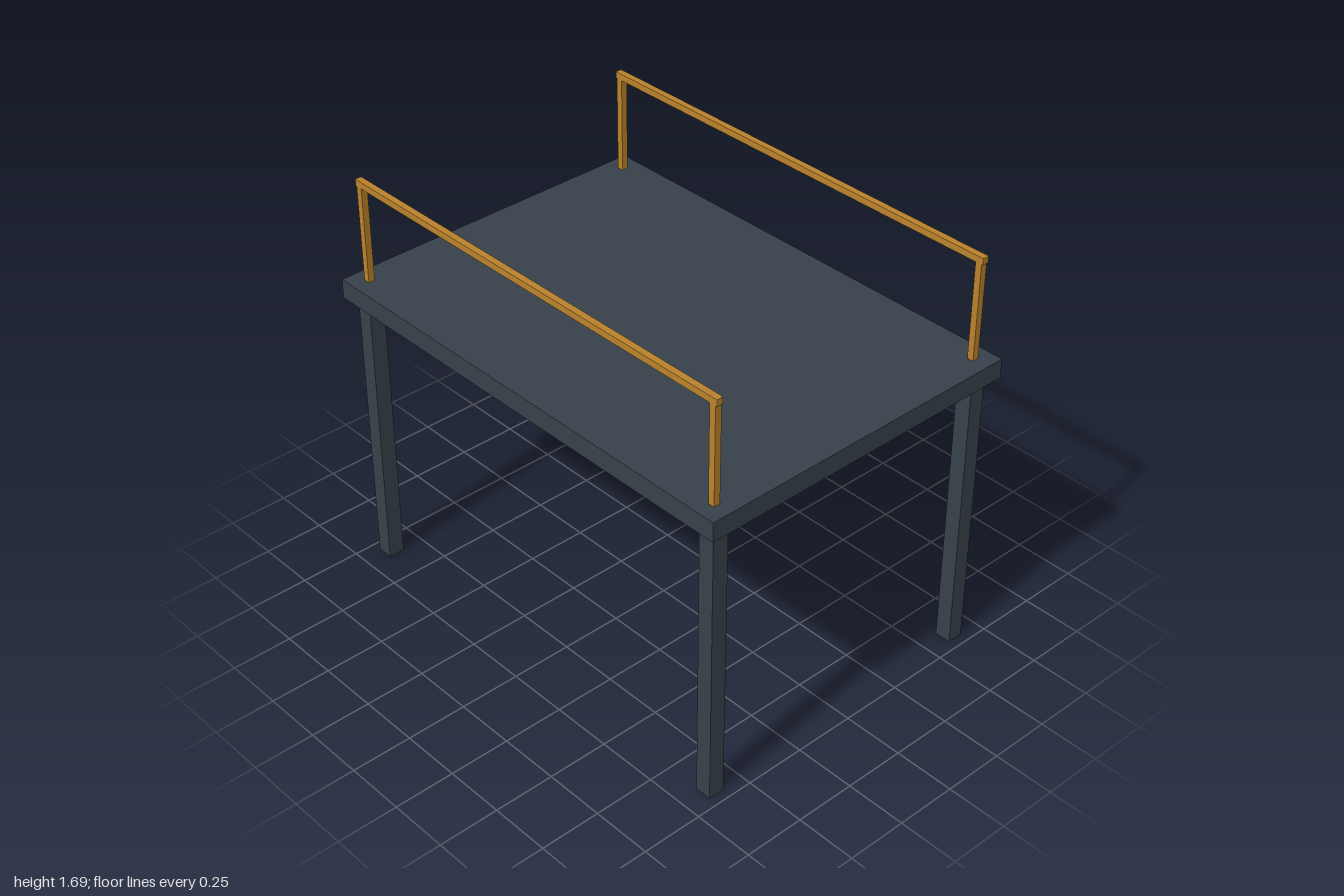
import * as THREE from 'three';

export function createModel() {
  const model = new THREE.Group();
  model.name = 'railedPlatform';
  const steel = new THREE.MeshStandardMaterial({ color: 0x37414a });
  const amber = new THREE.MeshStandardMaterial({ color: 0xb9822b });

  // Box standing on height y
  const addBox = (name, material, [w, h, d], [x, y, z]) => {
    const mesh = new THREE.Mesh(new THREE.BoxGeometry(w, h, d), material);
    mesh.name = name;
    mesh.position.set(x, y + h / 2, z);
    model.add(mesh);
  };

  const legHeight = 1.187, deckTop = 1.267, railBase = 1.664;
  const insetX = 0.927, insetZ = 0.627, bar = 0.027;

  addBox('deck', steel, [2, deckTop - legHeight, 1.4], [0, legHeight, 0]);

  for (const [end, sz] of [['front', 1], ['back', -1]]) {
    const z = sz * insetZ;
    for (const [side, sx] of [['Left', 1], ['Right', -1]]) {
      const x = sx * insetX;
      addBox(`${end}${side}Leg`, steel, [0.067, legHeight, 0.067], [x, 0, z]);
      addBox(`${end}${side}RailPost`, amber, [bar, railBase - deckTop, bar], [x, deckTop, z]);
    }
    // Handrail overhangs its posts slightly
    addBox(`${end}Handrail`, amber, [1.893, bar, bar], [0, railBase, z]);
  }
  return model;
}
